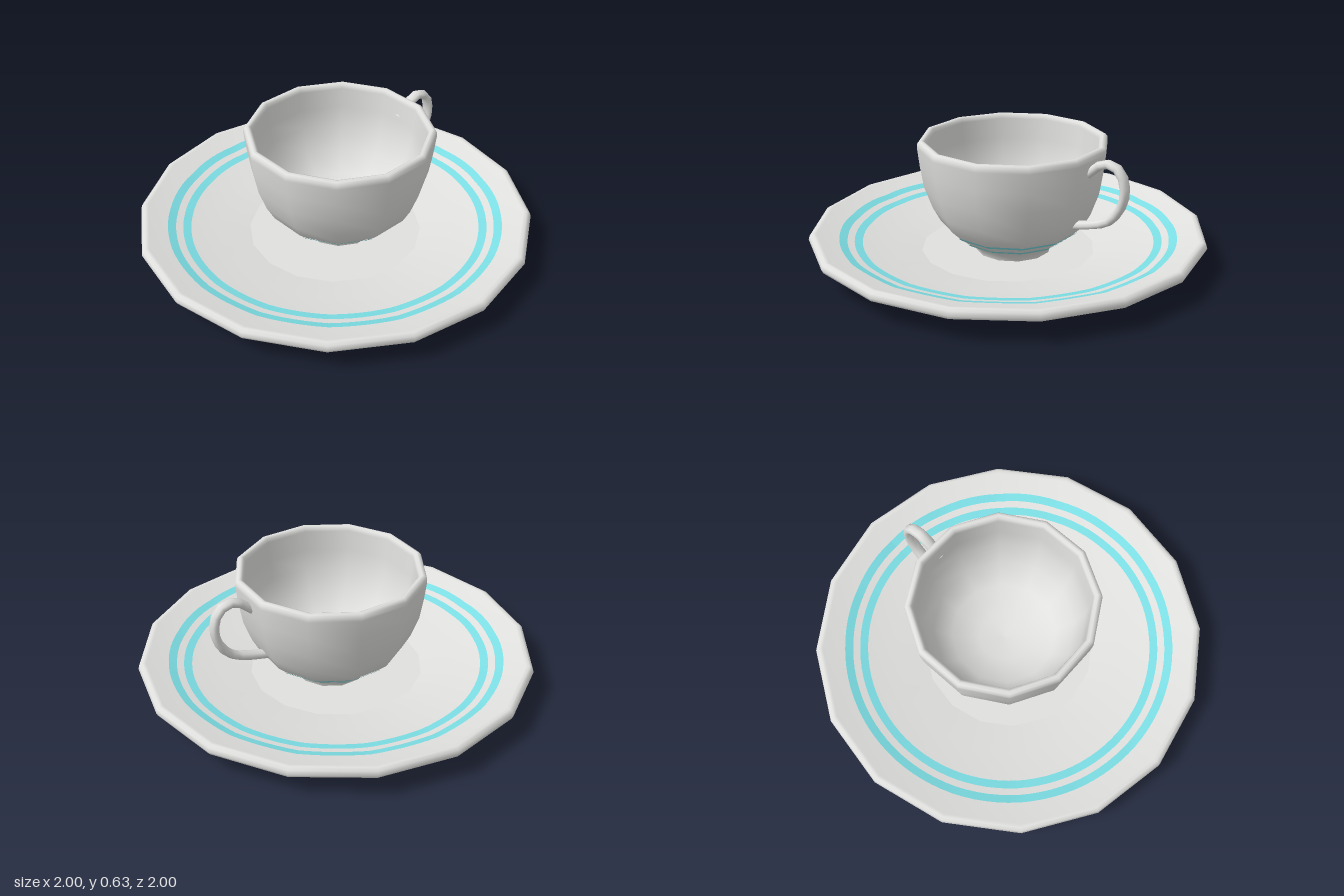
import * as THREE from 'three';

const SAUCER_SIDES = 16;
const CUP_SIDES = 12;
// upper face of the saucer, from rim to well: [radius, height]
const SAUCER_TOP = [[0.96, 0.163], [0.8, 0.112], [0.6, 0.074], [0.44, 0.045]];

export function createModel() {
  const china = new THREE.MeshStandardMaterial({ color: 0xe0e0de });
  china.name = 'white china';
  const teal = new THREE.MeshStandardMaterial({ color: 0x7cdee4 });
  teal.name = 'teal glaze';

  const model = new THREE.Group();
  model.name = 'cupAndSaucer';
  const saucer = new THREE.Group();
  saucer.name = 'saucer';
  const cup = new THREE.Group();
  cup.name = 'cup';
  cup.position.x = 0.033;
  model.add(saucer, cup);

  const add = (parent, name, geometry, material) => {
    const mesh = new THREE.Mesh(geometry, material);
    mesh.name = name;
    parent.add(mesh);
    return mesh;
  };
  const lathe = (profile, sides, start = 0) =>
    new THREE.LatheGeometry(profile.map(([r, y]) => new THREE.Vector2(r, y)), sides, start);
  const saucerPart = (name, profile) => add(saucer, name, lathe(profile, SAUCER_SIDES), china);
  const cupPart = (name, profile, material = china) =>
    add(cup, name, lathe(profile, CUP_SIDES, Math.PI / CUP_SIDES), material);

  // Saucer: recessed base, bevelled foot, plate with rounded rim, flat well
  saucerPart('saucerBase', [[0, 0.018], [0.385, 0.018]]);
  saucerPart('saucerFoot', [[0.385, 0.018], [0.46, 0]]);
  saucerPart('saucerPlate', [
    [0.46, 0], [0.72, 0.052], [0.97, 0.108], [0.992, 0.118], [1, 0.135], [0.994, 0.155], [0.978, 0.165],
    ...SAUCER_TOP,
  ]);
  saucerPart('saucerWell', [[0.44, 0.045], [0, 0.045]]);

  // Round stripes that follow the many-sided upper face of the saucer
  const topHeight = (rho) => {
    const i = rho > SAUCER_TOP[1][0] ? 0 : 1;
    const [r0, y0] = SAUCER_TOP[i];
    const [r1, y1] = SAUCER_TOP[i + 1];
    return y0 + ((rho - r0) * (y1 - y0)) / (r1 - r0);
  };
  const sector = (2 * Math.PI) / SAUCER_SIDES;
  for (const [name, inner, outer] of [['innerStripe', 0.735, 0.775], ['outerStripe', 0.81, 0.85]]) {
    const ring = new THREE.RingGeometry(inner, outer, 96, 2).rotateX(-Math.PI / 2);
    const p = ring.attributes.position;
    for (let i = 0; i < p.count; i++) {
      const x = p.getX(i);
      const z = p.getZ(i);
      const angle = Math.atan2(z, x) + 2 * Math.PI;
      const offset = (angle % sector) - sector / 2;
      const rho = (Math.hypot(x, z) * Math.cos(offset)) / Math.cos(sector / 2);
      p.setY(i, topHeight(rho) + 0.004);
    }
    ring.computeVertexNormals();
    add(saucer, name, ring, teal);
  }

  // Cup: outside wall, rounded lip and inside bowl in one profile
  cupPart('cupBase', [[0, 0.047], [0.19, 0.047]]);
  cupPart('cupBody', [
    [0.19, 0.047], [0.2, 0.08], [0.25, 0.11], [0.32, 0.165], [0.367, 0.21], [0.405, 0.28],
    [0.445, 0.39], [0.463, 0.5], [0.474, 0.595], [0.473, 0.615], [0.463, 0.628], [0.45, 0.631],
    [0.437, 0.625], [0.43, 0.605], [0.424, 0.5], [0.408, 0.4], [0.36, 0.28], [0.27, 0.18],
    [0.13, 0.135], [0, 0.127],
  ]);
  cupPart('cupUpperStripe', [[0.323, 0.163], [0.339, 0.178]], teal);
  cupPart('cupLowerStripe', [[0.266, 0.118], [0.285, 0.133]], teal);

  // Handle: a looped tube, wider across than in the plane of the loop
  const path = new THREE.CatmullRomCurve3(
    [[0.455, 0.515], [0.5, 0.555], [0.545, 0.59], [0.6, 0.598], [0.65, 0.565], [0.673, 0.48],
      [0.65, 0.39], [0.59, 0.318], [0.5, 0.28], [0.4, 0.255]]
      .map(([x, y]) => new THREE.Vector3(x - cup.position.x, y, 0)),
  );
  const handle = add(cup, 'handle', new THREE.TubeGeometry(path, 14, 0.022, 8, false), china);
  handle.scale.z = 1.35;

  return model;
}
